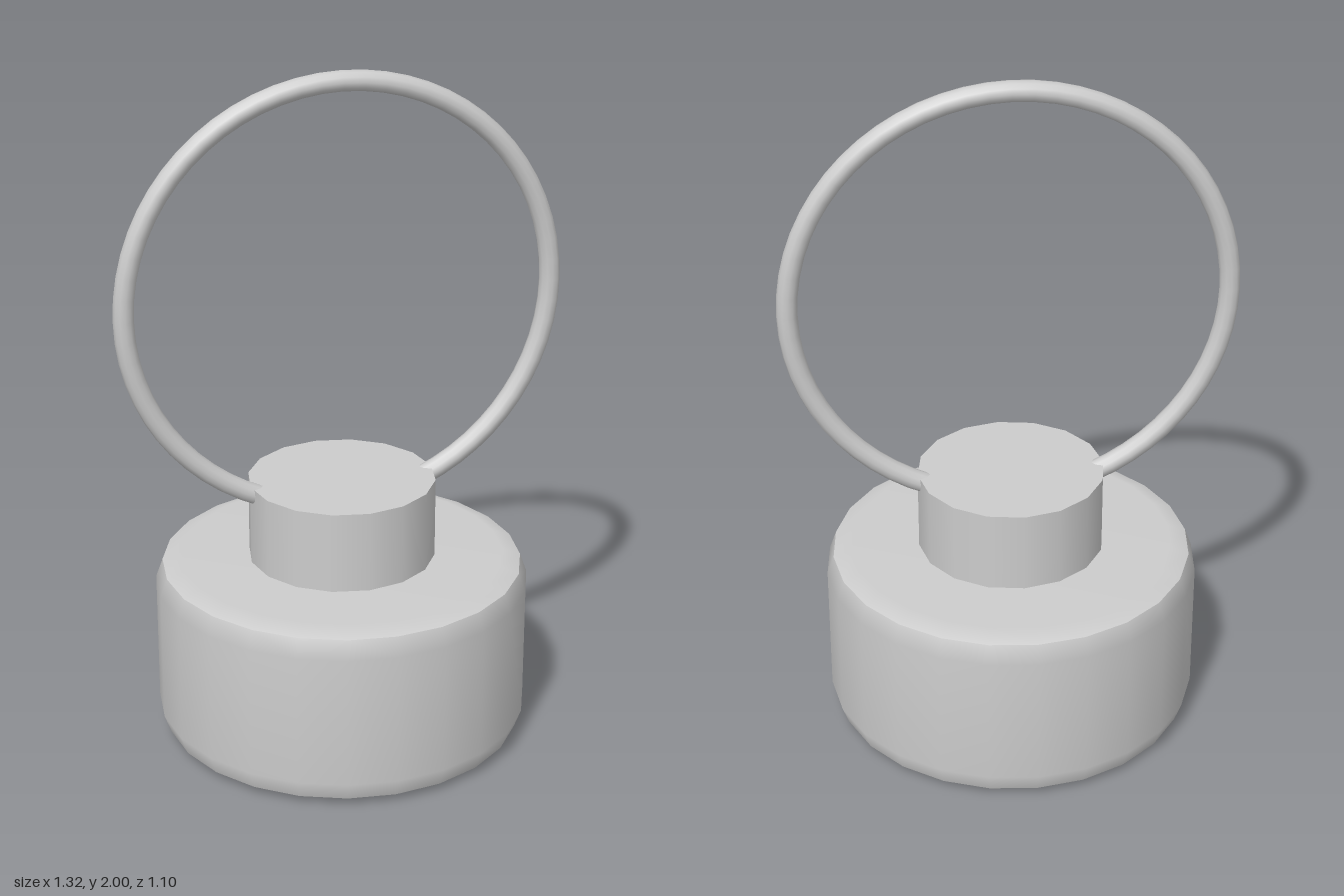
import * as THREE from 'three';

export function createModel() {
  const group = new THREE.Group();
  const metal = new THREE.MeshStandardMaterial({ color: 0xcccccc });
  metal.name = 'plain grey';

  const add = (name, geometry, y = 0) => {
    const mesh = new THREE.Mesh(geometry, metal);
    mesh.name = name;
    mesh.position.y = y;
    group.add(mesh);
  };
  const lathe = (...profile) =>
    new THREE.LatheGeometry(profile.map(([r, y]) => new THREE.Vector2(r, y)), 24);

  // Bevelled drum, split where its edges are sharp
  add('drumBottom', lathe([0, 0], [0.475, 0], [0.53, 0.025]));
  add('drumSide', lathe([0.53, 0.025], [0.55, 0.08], [0.55, 0.475], [0.53, 0.53]));
  add('drumTop', lathe([0.53, 0.53], [0.475, 0.55], [0, 0.55]));

  // Neck standing on the drum
  add('neck', new THREE.CylinderGeometry(0.275, 0.275, 0.25, 16), 0.665);

  // Hanging ring passing through the neck
  add('ring', new THREE.TorusGeometry(0.63, 0.03, 12, 64), 1.34);

  return group;
}
